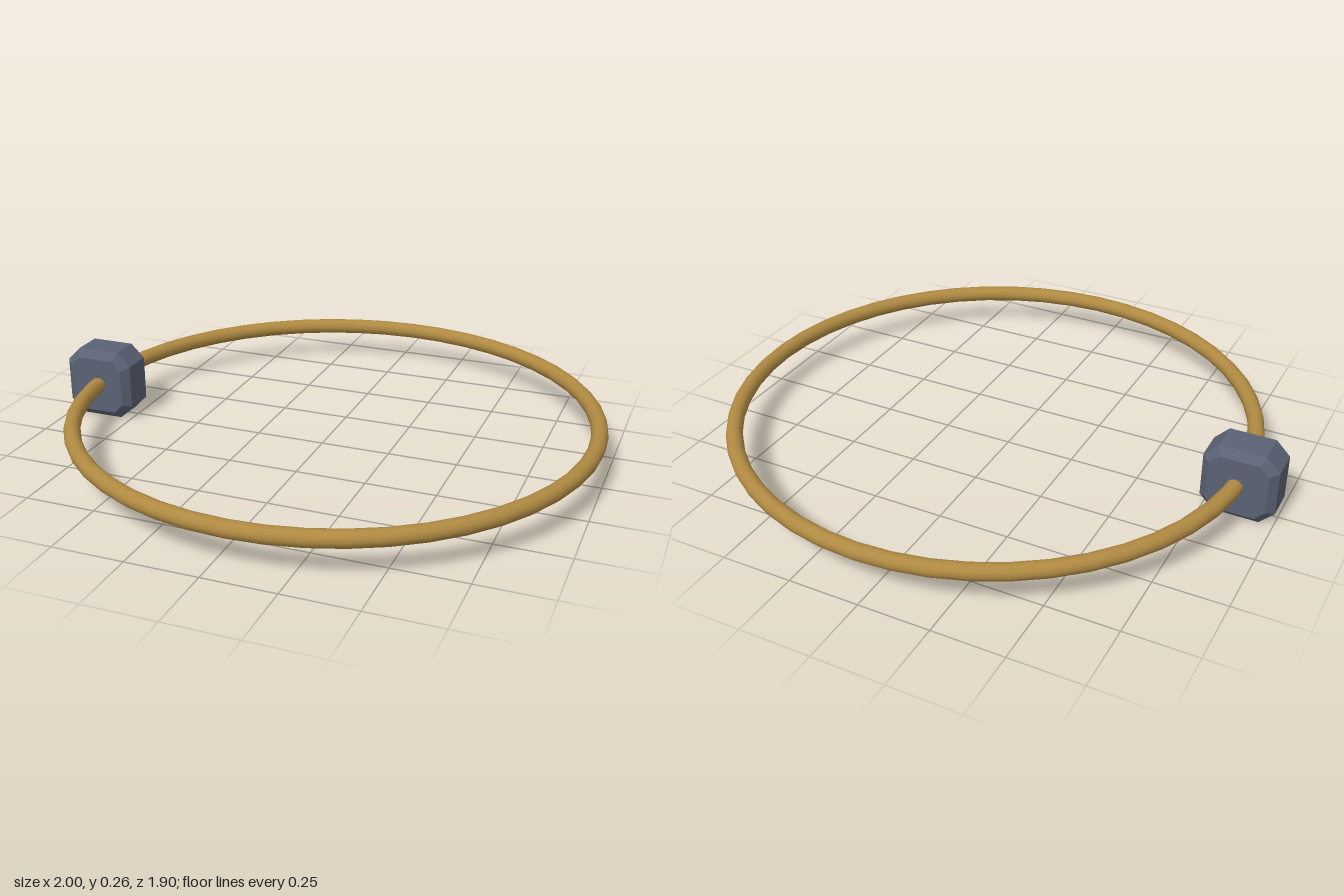
import * as THREE from 'three';

const CENTRE_Y = 0.13;

// Octagonal outline: a square of half-width h with its corners cut by c
function octagon(h, c) {
  const k = h - c;
  return new THREE.Shape([
    [h, -k], [h, k], [k, h], [-k, h], [-h, k], [-h, -k], [-k, -h], [k, -h],
  ].map(([x, y]) => new THREE.Vector2(x, y)));
}

export function createModel() {
  const group = new THREE.Group();

  // Thin round hoop lying flat
  const hoop = new THREE.Mesh(
    new THREE.TorusGeometry(0.92, 0.029, 12, 48),
    new THREE.MeshStandardMaterial({ color: 0xb08a42 })
  );
  hoop.name = 'hoop';
  hoop.rotation.x = Math.PI / 2;
  hoop.position.set(0.05, CENTRE_Y + 0.002, 0);
  group.add(hoop);

  // Chamfered block threaded on the hoop, bevelled front and back
  const bevel = 0.027, depth = 0.11;
  const geometry = new THREE.ExtrudeGeometry(octagon(0.129 - bevel, 0.034), {
    depth, bevelEnabled: true, bevelSegments: 1, bevelSize: bevel, bevelThickness: bevel,
  });
  geometry.translate(0, 0, -depth / 2);
  const block = new THREE.Mesh(
    geometry,
    new THREE.MeshStandardMaterial({ color: 0x5a6274, flatShading: true })
  );
  block.name = 'block';
  block.position.set(-0.872, CENTRE_Y, 0);
  group.add(block);

  return group;
}
